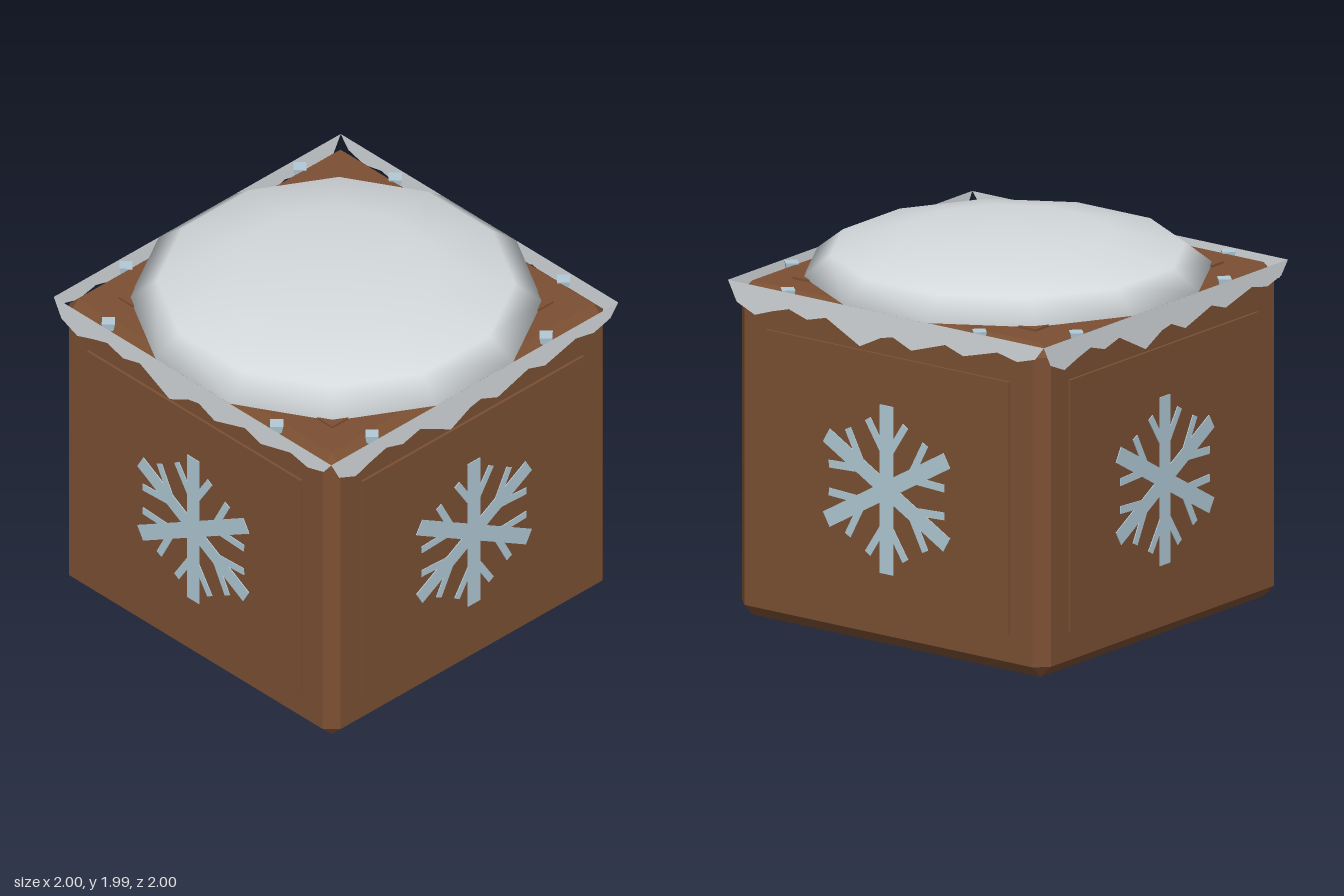
import * as THREE from 'three';
import { ConvexGeometry } from 'three/addons/geometries/ConvexGeometry.js';

const wood = new THREE.MeshStandardMaterial({ name: 'brown wood', color: 0x7c5033 });
const snow = new THREE.MeshStandardMaterial({ name: 'snow', color: 0xd6dbde, side: THREE.DoubleSide });
const ice = new THREE.MeshStandardMaterial({ name: 'pale blue ice', color: 0xb2cbd8 });

const MID = 0.885; // height of the crate's centre
const TOP = 1.765; // height of the snow line

function add(parent, name, geometry, material, x = 0, y = 0, z = 0) {
  const mesh = new THREE.Mesh(geometry, material);
  mesh.name = name;
  mesh.position.set(x, y, z);
  parent.add(mesh);
  return mesh;
}

// Box with every edge and corner bevelled
function chamferedBox(w, h, d, c) {
  const points = [];
  for (const x of [-1, 1]) for (const y of [-1, 1]) for (const z of [-1, 1]) {
    points.push(
      new THREE.Vector3(x * w, y * (h - c), z * (d - c)),
      new THREE.Vector3(x * (w - c), y * h, z * (d - c)),
      new THREE.Vector3(x * (w - c), y * (h - c), z * d));
  }
  return new ConvexGeometry(points);
}

// Six arms, each with a pair of slanted twigs
function snowflake() {
  const flake = new THREE.Group();
  flake.name = 'snowflake';
  for (let i = 0; i < 6; i++) {
    const arm = new THREE.Group();
    arm.name = 'snowflakeArm';
    arm.rotation.z = i * Math.PI / 3;
    add(arm, 'armBar', new THREE.BoxGeometry(0.085, 0.44, 0.005), ice, 0, 0.22, 0);
    for (const s of [-1, 1]) {
      const twig = add(arm, 'twig', new THREE.BoxGeometry(0.04, 0.19, 0.005), ice, s * 0.068, 0.272, 0);
      twig.rotation.z = -s * 0.57;
    }
    flake.add(arm);
  }
  return flake;
}

// Ragged lower edge of the snow, from left to right
const ragged = [
  [-1, TOP], [-0.945, 1.66], [-0.83, 1.612], [-0.72, 1.65], [-0.615, 1.68], [-0.5, 1.645],
  [-0.38, 1.677], [-0.165, 1.567], [-0.03, 1.635], [0.045, 1.65], [0.16, 1.602], [0.375, 1.67],
  [0.49, 1.632], [0.705, 1.69], [0.83, 1.663], [0.945, 1.695], [1, TOP],
];

export function createModel() {
  const model = new THREE.Group();
  model.name = 'snowyCrate';

  // Crate body with raised top and bottom panels
  add(model, 'crateBody', chamferedBox(0.978, 0.872, 0.978, 0.065), wood, 0, MID, 0);
  add(model, 'topPanel', new THREE.BoxGeometry(1.54, 0.03, 1.54), wood, 0, 1.754, 0);
  add(model, 'bottomPanel', new THREE.BoxGeometry(1.54, 0.03, 1.54), wood, 0, 0.015, 0);

  // Four identical sides
  const skirt = new THREE.ShapeGeometry(new THREE.Shape(ragged.map(p => new THREE.Vector2(...p))));
  for (let i = 0; i < 4; i++) {
    const side = new THREE.Group();
    side.name = 'crateSide';
    side.rotation.y = i * Math.PI / 2;
    add(side, 'sidePanel', new THREE.BoxGeometry(1.54, 1.318, 0.03), wood, 0, MID, 0.977);
    const flake = snowflake();
    flake.position.set(0, 0.845, 0.994);
    side.add(flake);
    add(side, 'snowSkirt', skirt, snow, 0, 0, 1);

    // Four-sided icicles behind the snow edge
    for (const x of [-0.663, 0.55]) {
      const icicle = new THREE.ConeGeometry(0.047, 0.2, 4).toNonIndexed();
      icicle.computeVertexNormals();
      add(side, 'icicle', icicle, ice, x, TOP - 0.1, 0.945).rotation.x = Math.PI;
    }
    model.add(side);
  }

  // Twelve-sided smooth snow cap
  const dome = new THREE.SphereGeometry(1.035, 12, 3, Math.PI / 12, Math.PI * 2, 0, Math.PI / 2);
  dome.scale(1, 0.22 / 1.035, 1);
  add(model, 'snowCap', dome, snow, 0, TOP, 0);

  return model;
}
